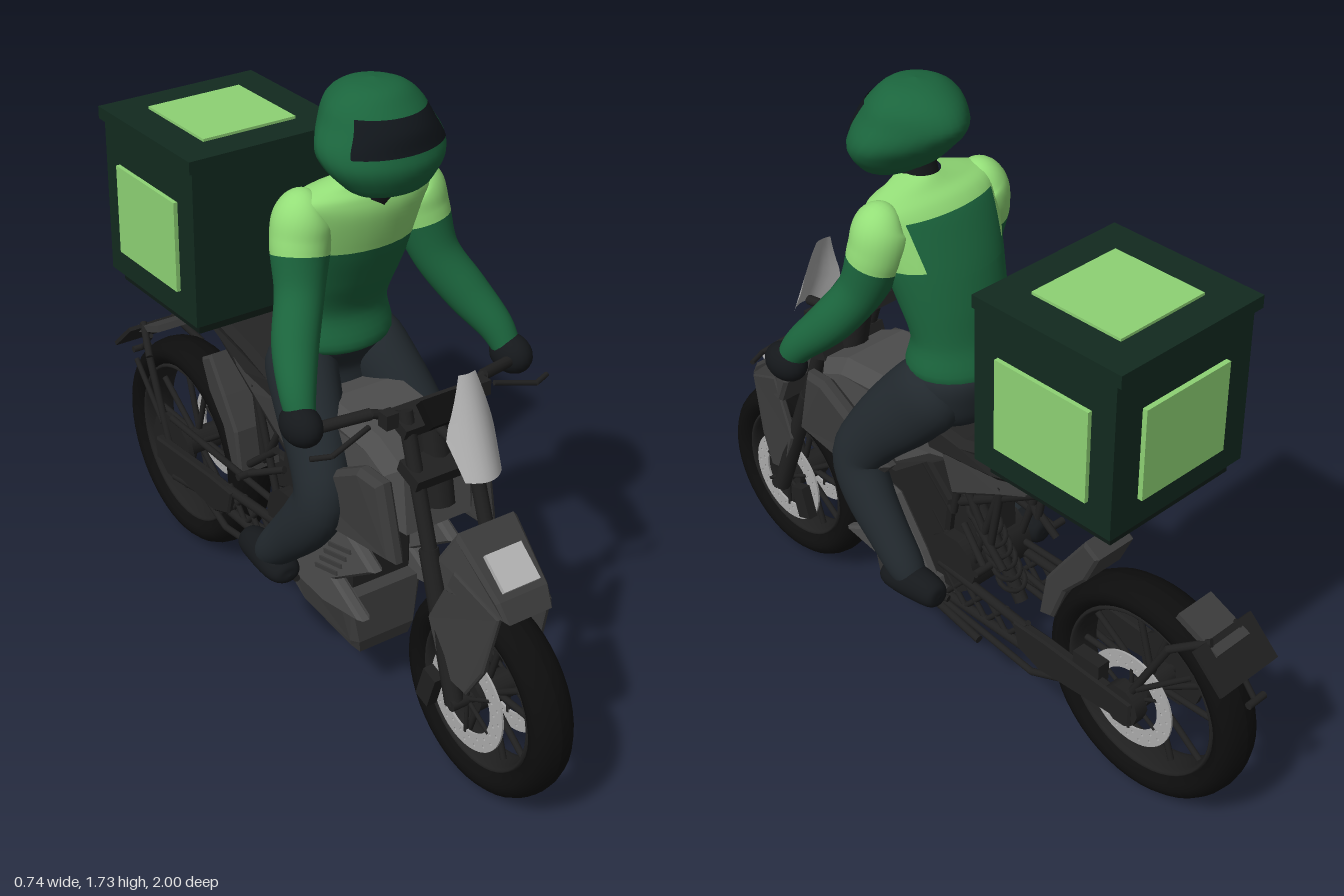
import * as THREE from 'three';

const V = (x, y, z) => new THREE.Vector3(x, y, z);
const mat = (color, flatShading = false, side = THREE.FrontSide) =>
  new THREE.MeshStandardMaterial({ color, flatShading, side });
const M = {
  black: mat(0x0d0d0d), frame: mat(0x202020), body: mat(0x3c3c3c, true), panel: mat(0x4c4c4c, true),
  seat: mat(0x242424, true), steel: mat(0xaaaaaa), screen: mat(0xb4b4b4, false, THREE.DoubleSide),
  green: mat(0x1b653d), lime: mat(0x94de78), pants: mat(0x22292e), glove: mat(0x15181b),
  visor: mat(0x11161b, false, THREE.DoubleSide), box: mat(0x122a1f), boxBase: mat(0x0e1a15), limePanel: mat(0x8ed274),
};

function add(parent, name, geo, material) {
  const m = new THREE.Mesh(geo, material);
  m.name = name;
  parent.add(m);
  return m;
}
const both = fn => [-1, 1].forEach(fn);

// Round bar between two points
function rod(g, name, a, b, r, material = M.frame) {
  const d = V(...b).sub(V(...a));
  const m = add(g, name, new THREE.CylinderGeometry(r, r, d.length(), 10), material);
  m.position.set(...a).addScaledVector(d, 0.5);
  m.quaternion.setFromUnitVectors(V(0, 1, 0), d.normalize());
  return m;
}
function block(g, name, size, pos, material, rx = 0) {
  const m = add(g, name, new THREE.BoxGeometry(...size), material);
  m.position.set(...pos);
  m.rotation.x = rx;
  return m;
}
// Side outline given as [z, y], extruded across x; taper(y, z) scales the width
function slab(g, name, pts, width, material, { x = 0, bevel = 0.01, taper } = {}) {
  const geo = new THREE.ExtrudeGeometry(new THREE.Shape(pts.map(p => new THREE.Vector2(...p))), {
    depth: width - 2 * bevel, bevelEnabled: bevel > 0, bevelThickness: bevel, bevelSize: bevel, bevelOffset: -bevel, bevelSegments: 1,
  }).translate(0, 0, -width / 2 + bevel).rotateY(-Math.PI / 2);
  const p = geo.attributes.position;
  for (let i = 0; i < p.count; i++) p.setX(i, (x + p.getX(i)) * (taper ? taper(p.getY(i), p.getZ(i)) : 1));
  geo.computeVertexNormals();
  return add(g, name, geo, material);
}
// Smooth body from elliptical sections [x, y, z, rx, rd]
function loft(secs, { t0 = 0, t1 = 1, a0 = 0, a1 = 2 * Math.PI, level = false, grow = 1, rows = 24, cols = 28 } = {}) {
  const pos = new THREE.CatmullRomCurve3(secs.map(s => V(s[0], s[1], s[2])), false, 'catmullrom');
  const rad = new THREE.CatmullRomCurve3(secs.map(s => V(s[3], s[4] ?? s[3], 0)), false, 'catmullrom');
  const closed = a1 - a0 > 6.28, n = closed ? cols : cols + 1, verts = [], idx = [];
  for (let i = 0; i <= rows; i++) {
    const t = t0 + (t1 - t0) * i / rows, c = pos.getPoint(t), r = rad.getPoint(t);
    const T = level ? V(0, 1, 0) : pos.getTangent(t);
    const X = V(1, 0, 0).addScaledVector(T, -T.x).normalize(), B = T.clone().cross(X);
    for (let j = 0; j < n; j++) {
      const a = a0 + (a1 - a0) * j / cols;
      verts.push(...c.clone().addScaledVector(X, Math.cos(a) * r.x * grow).addScaledVector(B, Math.sin(a) * r.y * grow).toArray());
    }
  }
  for (let i = 0; i < rows; i++) for (let j = 0; j < cols; j++) {
    const a = i * n + j, b = i * n + (j + 1) % n;
    idx.push(a, b, a + n, b, b + n, a + n);
  }
  const geo = new THREE.BufferGeometry();
  geo.setAttribute('position', new THREE.Float32BufferAttribute(verts, 3));
  geo.setIndex(idx);
  geo.computeVertexNormals();
  return geo;
}

function ring(cr, dr, w, seg = 48) {
  const pts = [];
  for (let i = 0; i <= 16; i++) {
    const a = i / 16 * 2 * Math.PI;
    pts.push(new THREE.Vector2(cr + Math.cos(a) * dr, Math.sin(a) * w));
  }
  return new THREE.LatheGeometry(pts, seg).rotateZ(Math.PI / 2);
}
function wheel(R, w, discSides) {
  const g = new THREE.Group();
  add(g, 'tyre', ring(R - 0.042, 0.042, w), M.black);
  add(g, 'rim', ring(R - 0.08, 0.012, w * 0.75), M.frame);
  rod(g, 'hub', [-0.055, 0, 0], [0.055, 0, 0], 0.04);
  rod(g, 'axle', [-0.12, 0, 0], [0.12, 0, 0], 0.015);
  for (let i = 0; i < 10; i++) {
    const b = Math.floor(i / 2) / 5 * 2 * Math.PI, a = b + (i % 2 ? 0.25 : -0.25);
    rod(g, 'spoke', [0, Math.cos(b) * 0.035, Math.sin(b) * 0.035], [0, Math.cos(a) * (R - 0.08), Math.sin(a) * (R - 0.08)], 0.009);
  }
  // Drilled brake discs
  const s = new THREE.Shape().absarc(0, 0, 0.14, 0, 2 * Math.PI);
  s.holes.push(new THREE.Path().absarc(0, 0, 0.092, 0, 2 * Math.PI, true));
  for (let i = 0; i < 40; i++) {
    const a = i / 40 * 2 * Math.PI, r = i % 2 ? 0.107 : 0.125;
    s.holes.push(new THREE.Path().absarc(Math.cos(a) * r, Math.sin(a) * r, 0.004, 0, 2 * Math.PI, true));
  }
  for (const x of discSides) {
    const d = add(g, 'brakeDisc', new THREE.ExtrudeGeometry(s, { depth: 0.006, bevelEnabled: false, curveSegments: 24 }).rotateY(Math.PI / 2), M.steel);
    d.position.x = x - 0.003;
    for (let i = 0; i < 6; i++) {
      const a = i / 6 * 2 * Math.PI;
      rod(g, 'discArm', [x, 0, 0], [x, Math.cos(a) * 0.1, Math.sin(a) * 0.1], 0.006);
    }
  }
  return g;
}

function motorcycle() {
  const g = new THREE.Group();
  g.name = 'motorcycle';
  const fw = wheel(0.28, 0.063, [-0.068, 0.068]), rw = wheel(0.32, 0.068, [0.078]);
  fw.name = 'frontWheel'; fw.position.set(0, 0.285, 0.72);
  rw.name = 'rearWheel'; rw.position.set(0, 0.33, -0.66);
  g.add(fw, rw);

  both(s => {
    // Fork, handlebar and levers
    rod(g, 'forkTube', [s * 0.085, 0.99, 0.46], [s * 0.09, 0.55, 0.615], 0.02);
    rod(g, 'forkLower', [s * 0.09, 0.66, 0.575], [s * 0.1, 0.28, 0.71], 0.025);
    block(g, 'brakeCaliper', [0.03, 0.1, 0.05], [s * 0.1, 0.27, 0.61], M.frame, 0.3);
    rod(g, 'handlebarInner', [s * 0.04, 0.96, 0.46], [s * 0.17, 1.0, 0.44], 0.012);
    rod(g, 'handlebarOuter', [s * 0.17, 1.0, 0.44], [s * 0.36, 0.97, 0.37], 0.015);
    rod(g, 'lever', [s * 0.19, 0.98, 0.46], [s * 0.31, 0.95, 0.48], 0.007);
    rod(g, 'leverTip', [s * 0.31, 0.95, 0.48], [s * 0.36, 0.95, 0.46], 0.007);
    block(g, 'reservoir', [0.035, 0.04, 0.035], [s * 0.14, 0.99, 0.47], M.frame);
    // Front mudguard sides
    slab(g, 'mudguardSide', [[0.84, 0.6], [0.7, 0.67], [0.62, 0.5], [0.67, 0.36], [0.75, 0.33], [0.8, 0.42]], 0.022, M.body, { x: s * 0.112, bevel: 0.005, taper: (y, z) => 1 - 1.7 * Math.max(0, z - 0.65) });
    // Tank wings and lower fairing
    slab(g, 'tankWing', [[0.53, 0.61], [0.48, 0.82], [0.4, 0.83], [0.14, 0.68], [0.22, 0.58]], 0.05, M.body, { x: s * 0.15, bevel: 0.015, taper: (y, z) => 1.06 - 0.8 * Math.max(0, z - 0.4) });
    slab(g, 'sideFairing', [[0.42, 0.515], [0.29, 0.59], [0.16, 0.56], [0.06, 0.42], [0.0, 0.32], [0.2, 0.3], [0.37, 0.335], [0.25, 0.4]], 0.04, M.panel, { x: s * 0.125 });
    for (let i = 0; i < 4; i++) block(g, 'fairingSlat', [0.02, 0.012, 0.1], [s * 0.14, 0.42 + i * 0.033, 0.22 + i * 0.02], M.body, -0.25);
    // Trellis frame
    const nodes = [[0.12, 0.72], [-0.02, 0.58], [-0.05, 0.72], [-0.16, 0.54], [-0.2, 0.76], [-0.08, 0.4], [0.05, 0.55]];
    for (let i = 0; i < nodes.length - 1; i++)
      rod(g, 'frameTube', [s * 0.09, nodes[i][1], nodes[i][0]], [s * 0.09, nodes[i + 1][1], nodes[i + 1][0]], 0.011);
    rod(g, 'subframeTube', [s * 0.08, 0.62, -0.04], [s * 0.08, 0.86, -0.42], 0.014);
    // Swingarm: open truss in front, solid blade at the wheel
    slab(g, 'swingarmBlade', [[-0.28, 0.38], [-0.4, 0.38], [-0.7, 0.36], [-0.7, 0.29], [-0.38, 0.27], [-0.3, 0.3]], 0.03, M.frame, { x: s * 0.112, bevel: 0.006 });
    rod(g, 'swingarmUpper', [s * 0.1, 0.39, 0.02], [s * 0.11, 0.37, -0.32], 0.014);
    rod(g, 'swingarmLower', [s * 0.1, 0.29, 0.02], [s * 0.11, 0.3, -0.34], 0.014);
    for (let i = 0; i < 4; i++) both(k => rod(g, 'swingarmLattice', [s * 0.105, 0.34 + k * 0.045, -i * 0.08], [s * 0.105, 0.34 - k * 0.045, -i * 0.08 - 0.08], 0.008));
    rod(g, 'swingarmBrace', [s * 0.11, 0.27, 0], [s * 0.11, 0.23, -0.34], 0.01);
    rod(g, 'swingarmBrace', [s * 0.11, 0.23, -0.34], [s * 0.11, 0.3, -0.5], 0.01);
    rod(g, 'braceStrut', [s * 0.09, 0.6, -0.1], [s * 0.1, 0.5, -0.22], 0.011);
    // Footpegs
    rod(g, 'footpeg', [s * 0.1, 0.345, 0.03], [s * 0.22, 0.345, 0.03], 0.012);
    rod(g, 'footLever', [s * 0.13, 0.31, -0.04], [s * 0.16, 0.325, 0.1], 0.01);
    rod(g, 'passengerPegStay', [s * 0.09, 0.56, -0.06], [s * 0.13, 0.5, -0.18], 0.01);
    rod(g, 'passengerPeg', [s * 0.11, 0.5, -0.18], [s * 0.165, 0.5, -0.18], 0.011);
    // Number plate stays
    rod(g, 'plateStay', [s * 0.1, 0.34, -0.66], [s * 0.09, 0.58, -0.78], 0.011);
    rod(g, 'plateStay', [s * 0.09, 0.58, -0.78], [s * 0.05, 0.64, -0.88], 0.011);
    rod(g, 'plateStay', [s * 0.1, 0.4, -0.7], [s * 0.09, 0.54, -0.86], 0.008);
  });
  block(g, 'lowerYoke', [0.22, 0.035, 0.08], [0, 0.84, 0.51], M.frame, 0.35);
  block(g, 'upperYoke', [0.22, 0.03, 0.08], [0, 0.96, 0.46], M.frame, 0.35);
  block(g, 'dashboard', [0.11, 0.07, 0.03], [0, 0.985, 0.5], M.black, -0.8);
  rod(g, 'steeringHead', [0, 0.97, 0.45], [0, 0.72, 0.5], 0.04);
  rod(g, 'sideStand', [0.12, 0.27, 0.06], [0.13, 0.24, -0.16], 0.012);

  // Front mudguard nose and lamp
  slab(g, 'mudguardNose', [[0.86, 0.59], [0.83, 0.64], [0.68, 0.76], [0.64, 0.68], [0.67, 0.6]], 0.25, M.body, { taper: (y, z) => (1 - 2.1 * Math.max(0, z - 0.65)) * (1 - 2 * Math.max(0, y - 0.65)) });
  block(g, 'headlamp', [0.11, 0.012, 0.1], [0, 0.687, 0.782], M.screen, 0.68);
  // Windscreen curved back at its edges
  const ws = new THREE.PlaneGeometry(1, 1, 8, 8), p = ws.attributes.position;
  for (let i = 0; i < p.count; i++) {
    const t = p.getY(i) + 0.5, x = p.getX(i) * 2 * (t < 0.4 ? 0.055 + 0.045 * t : 0.073 - 0.08 * (t - 0.4));
    p.setXYZ(i, x, 0.88 + 0.245 * t, 0.69 - 0.1 * t - 9 * x * x);
  }
  ws.computeVertexNormals();
  add(g, 'windscreen', ws, M.screen);
  rod(g, 'windscreenStay', [0, 0.9, 0.66], [0, 0.93, 0.48], 0.014);

  // Tank, seat, tail
  slab(g, 'tank', [[0.5, 0.66], [0.48, 0.84], [0.38, 0.885], [0.18, 0.9], [0.02, 0.87], [0.0, 0.74], [0.2, 0.6]], 0.27, M.panel, { bevel: 0.035, taper: (y, z) => 1 - 0.9 * Math.max(0, 0.15 - z) });
  slab(g, 'seat', [[0.08, 0.87], [-0.08, 0.855], [-0.2, 0.89], [-0.35, 0.905], [-0.5, 0.905], [-0.5, 0.87], [-0.2, 0.79], [0.05, 0.76]], 0.25, M.seat, { bevel: 0.02, taper: (y, z) => 1 - 0.6 * Math.max(0, -0.2 - z) });
  slab(g, 'tail', [[0.02, 0.8], [-0.3, 0.87], [-0.52, 0.9], [-0.49, 0.85], [-0.2, 0.73], [-0.03, 0.65]], 0.22, M.body, { taper: (y, z) => 1 - 0.8 * Math.max(0, -0.1 - z) });
  // Power unit and belly
  slab(g, 'battery', [[0.26, 0.7], [0.26, 0.36], [0.02, 0.33], [-0.02, 0.62], [0.1, 0.74]], 0.2, M.frame);
  rod(g, 'motor', [-0.11, 0.42, -0.03], [0.11, 0.42, -0.03], 0.09);
  slab(g, 'motorController', [[0.02, 0.66], [-0.09, 0.64], [-0.1, 0.5], [0.02, 0.46]], 0.15, M.frame);
  slab(g, 'bellyPan', [[0.28, 0.34], [0.29, 0.2], [0.28, 0.16], [0.05, 0.2], [-0.02, 0.29], [0.0, 0.36]], 0.26, M.body, { bevel: 0.02, taper: y => 1 - 2 * Math.max(0, 0.3 - y) });
  // Coil shock absorber
  rod(g, 'shock', [0.05, 0.64, -0.06], [0.05, 0.38, -0.24], 0.02);
  for (let i = 0; i < 7; i++) {
    const c = add(g, 'shockCoil', new THREE.TorusGeometry(0.04, 0.008, 6, 16), M.frame);
    c.position.set(0.05, 0.6 - i * 0.027, -0.088 - i * 0.0187);
    c.rotation.x = 0.97;
  }
  // Belt drive, hub cover and rear mudguard
  rod(g, 'sprocket', [-0.08, 0.33, -0.66], [-0.095, 0.33, -0.66], 0.11);
  rod(g, 'hubCover', [0.08, 0.33, -0.66], [0.12, 0.33, -0.66], 0.06);
  both(s => rod(g, 'belt', [-0.09, 0.38 + s * 0.05, -0.05], [-0.09, 0.33 + s * 0.1, -0.66], 0.01));
  block(g, 'rearCaliper', [0.04, 0.06, 0.09], [0.1, 0.38, -0.54], M.frame);
  slab(g, 'rearMudguard', [[-0.32, 0.4], [-0.34, 0.53], [-0.4, 0.62], [-0.47, 0.72], [-0.52, 0.69], [-0.48, 0.6], [-0.41, 0.52], [-0.37, 0.41]], 0.14, M.body, { bevel: 0.008 });
  // Number plate
  block(g, 'numberPlate', [0.21, 0.012, 0.13], [0, 0.595, -0.915], M.frame, -0.75);
  block(g, 'plateCarrier', [0.12, 0.02, 0.14], [0, 0.64, -0.84], M.body, -0.4);
  rod(g, 'rearReflectorStay', [0, 0.56, -0.93], [0, 0.495, -0.985], 0.008);
  rod(g, 'rearReflector', [-0.03, 0.495, -0.99], [0.03, 0.495, -0.99], 0.01);
  return g;
}

function rider() {
  const g = new THREE.Group();
  g.name = 'rider';
  // Jacket with a bright yoke, open at the back
  const torso = [[0, 0.98, 0.04, 0, 0], [0, 1.0, 0.04, 0.15, 0.125], [0, 1.1, 0.045, 0.145, 0.105], [0, 1.2, 0.075, 0.16, 0.115],
    [0, 1.3, 0.11, 0.18, 0.118], [0, 1.4, 0.145, 0.2, 0.105], [0, 1.45, 0.16, 0.2, 0.085], [0, 1.475, 0.17, 0.14, 0.06], [0, 1.5, 0.185, 0.05, 0.05]];
  add(g, 'jacket', loft(torso, { t1: 0.51, level: true }), M.green);
  add(g, 'jacketYoke', loft(torso, { t0: 0.51, level: true }), M.lime);
  add(g, 'jacketBack', loft(torso, { t0: 0.48, t1: 0.69, a0: 0.8, a1: Math.PI - 0.8, level: true, grow: 1.015 }), M.green);
  rod(g, 'neck', [0, 1.43, 0.19], [0, 1.56, 0.225], 0.058, M.glove);
  add(g, 'hips', loft([[0, 0.84, 0.03, 0, 0], [0, 0.86, 0.03, 0.12, 0.085], [0, 0.93, 0.015, 0.155, 0.1], [0, 1.02, 0.035, 0.148, 0.118], [0, 1.04, 0.04, 0, 0]], { level: true }), M.pants);
  both(s => {
    const side = a => a.map(([x, ...r]) => [s * x, ...r]);
    const arm = side([[0.12, 1.43, 0.15, 0.02], [0.16, 1.415, 0.15, 0.07], [0.178, 1.345, 0.155, 0.076], [0.205, 1.23, 0.19, 0.062],
      [0.258, 1.13, 0.25, 0.058], [0.3, 1.05, 0.32, 0.046], [0.315, 0.99, 0.36, 0.035]]);
    add(g, 'shoulder', loft(arm, { t1: 0.38 }), M.lime);
    add(g, 'sleeve', loft(arm, { t0: 0.38 }), M.green);
    const glove = add(g, 'glove', new THREE.SphereGeometry(1, 20, 14), M.glove);
    glove.scale.set(0.048, 0.052, 0.066);
    glove.position.set(s * 0.32, 0.982, 0.365);
    add(g, 'leg', loft(side([[0.08, 1.0, 0.0, 0.03], [0.1, 0.96, 0.03, 0.085, 0.1], [0.128, 0.87, 0.11, 0.085, 0.105], [0.16, 0.76, 0.205, 0.075, 0.088], [0.182, 0.67, 0.25, 0.07, 0.078],
      [0.193, 0.58, 0.205, 0.065, 0.076], [0.198, 0.49, 0.125, 0.056, 0.064], [0.2, 0.41, 0.05, 0.05], [0.2, 0.36, 0.01, 0.03]]), { rows: 32 }), M.pants);
    add(g, 'boot', loft(side([[0.2, 0.38, -0.08, 0], [0.2, 0.38, -0.07, 0.035], [0.2, 0.38, 0, 0.048], [0.2, 0.37, 0.08, 0.05, 0.04], [0.2, 0.365, 0.12, 0.035, 0.026], [0.2, 0.365, 0.13, 0]])), M.glove);
  });
  // Helmet narrowing to the back, with visor
  const helmet = [[0, 1.475, 0.27, 0, 0], [0, 1.485, 0.27, 0.09, 0.06], [0, 1.52, 0.255, 0.135, 0.1], [0, 1.56, 0.24, 0.163, 0.125],
    [0, 1.6, 0.215, 0.168, 0.14], [0, 1.645, 0.195, 0.145, 0.148], [0, 1.69, 0.19, 0.12, 0.12], [0, 1.725, 0.2, 0.07, 0.07], [0, 1.738, 0.2, 0, 0]];
  const shell = loft(helmet, { level: true, rows: 36 }), p = shell.attributes.position;
  for (let i = 0; i < p.count; i++) p.setX(i, p.getX(i) * (1 - 2.2 * Math.max(0, 0.2 - p.getZ(i))));
  shell.computeVertexNormals();
  add(g, 'helmet', shell, M.green);
  add(g, 'visor', loft(helmet, { level: true, t0: 0.48, t1: 0.71, a0: 1.5 * Math.PI - 0.92, a1: 1.5 * Math.PI + 0.92, grow: 1.02 }), M.visor);
  return g;
}

function deliveryBox() {
  const g = new THREE.Group();
  g.name = 'deliveryBox';
  block(g, 'boxBase', [0.42, 0.04, 0.4], [0, 0.933, -0.48], M.boxBase);
  block(g, 'boxBody', [0.47, 0.44, 0.45], [0, 1.17, -0.475], M.box);
  block(g, 'boxLid', [0.486, 0.035, 0.47], [0, 1.405, -0.483], M.box);
  both(s => block(g, 'sidePanel', [0.014, 0.255, 0.3], [s * 0.24, 1.155, -0.478], M.limePanel));
  block(g, 'backPanel', [0.29, 0.255, 0.016], [0, 1.155, -0.706], M.limePanel);
  block(g, 'lidPanel', [0.285, 0.01, 0.28], [0, 1.425, -0.483], M.limePanel);
  return g;
}

export function createModel() {
  const model = new THREE.Group();
  model.name = 'deliveryMotorcycle';
  model.add(motorcycle(), rider(), deliveryBox());
  return model;
}
